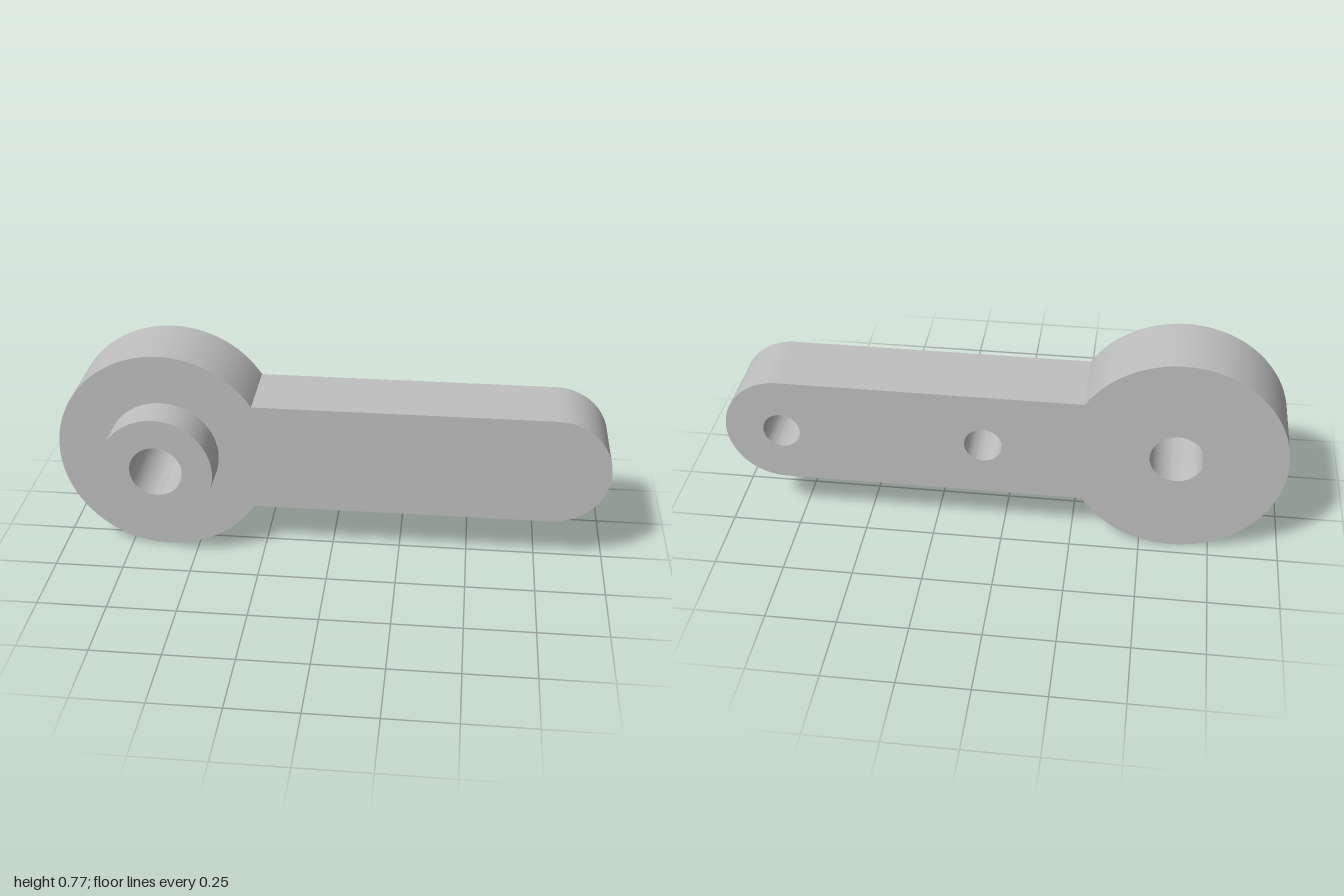
import * as THREE from 'three';
import { toCreasedNormals } from 'three/addons/utils/BufferGeometryUtils.js';

const BACK = -0.205, FACE = 0.068, TOP = 0.205; // depth levels
const Y = 0.386;                                // height of the centre line
const HUB_X = -0.614, HUB_R = 0.386;
const ARM_R = 0.204, TIP_X = 0.796;
const BOSS_R = 0.204, BORE_R = 0.095;
const PIN_R = 0.067, PIN_END = 0, PIN_X = [0.068, TIP_X];
const SEG = 64;

// Outline of the round hub merging into the round-ended arm
function outline(holes = []) {
  const a = Math.asin(ARM_R / HUB_R);
  const s = new THREE.Shape();
  s.absarc(HUB_X, Y, HUB_R, a, 2 * Math.PI - a, false);
  s.absarc(TIP_X, Y, ARM_R, -Math.PI / 2, Math.PI / 2, false);
  s.closePath();
  for (const [x, r] of holes) {
    s.holes.push(new THREE.Path().absarc(x, Y, r, 0, 2 * Math.PI, true));
  }
  return s;
}

// Side wall that follows a closed outline
function wall(points, z0, z1) {
  const pos = [];
  points.forEach((p, i) => {
    const q = points[(i + 1) % points.length];
    if (p.distanceTo(q) < 1e-6) return;
    pos.push(p.x, p.y, z0, q.x, q.y, z0, q.x, q.y, z1);
    pos.push(p.x, p.y, z0, q.x, q.y, z1, p.x, p.y, z1);
  });
  const g = new THREE.BufferGeometry();
  g.setAttribute('position', new THREE.Float32BufferAttribute(pos, 3));
  return toCreasedNormals(g, 0.5);
}

// Turned surface about an axis along z; profile pairs are [radius, z]
function turned(profile, x) {
  const g = new THREE.LatheGeometry(profile.map(([r, z]) => new THREE.Vector2(r, z)), SEG);
  return toCreasedNormals(g.rotateX(Math.PI / 2), 0.5).translate(x, Y, 0);
}

export function createModel() {
  const group = new THREE.Group();
  const grey = new THREE.MeshStandardMaterial({ color: 0xbfbfbf });
  grey.name = 'grey';
  const add = (name, geometry) => {
    const mesh = new THREE.Mesh(geometry, grey);
    mesh.name = name;
    group.add(mesh);
  };

  // Lever body: front face, back face and rim
  add('leverFront', new THREE.ShapeGeometry(outline([[HUB_X, BOSS_R]]), SEG).translate(0, 0, FACE));
  const holes = [[HUB_X, BORE_R], ...PIN_X.map((x) => [x, PIN_R])];
  const back = new THREE.ShapeGeometry(outline(holes), SEG).translate(0, 0, BACK);
  back.index.array.reverse(); // turn the face to the rear
  back.computeVertexNormals();
  add('leverBack', back);
  add('leverRim', wall(outline().getPoints(SEG), BACK, FACE));

  // Raised boss with the bore running right through
  add('bossAndBore', turned([[BOSS_R, FACE], [BOSS_R, TOP], [BORE_R, TOP], [BORE_R, BACK]], HUB_X));

  // Blind pin holes in the back
  for (const x of PIN_X) {
    add('pinHole', turned([[0, PIN_END], [PIN_R, PIN_END], [PIN_R, BACK]], x));
  }
  return group;
}
